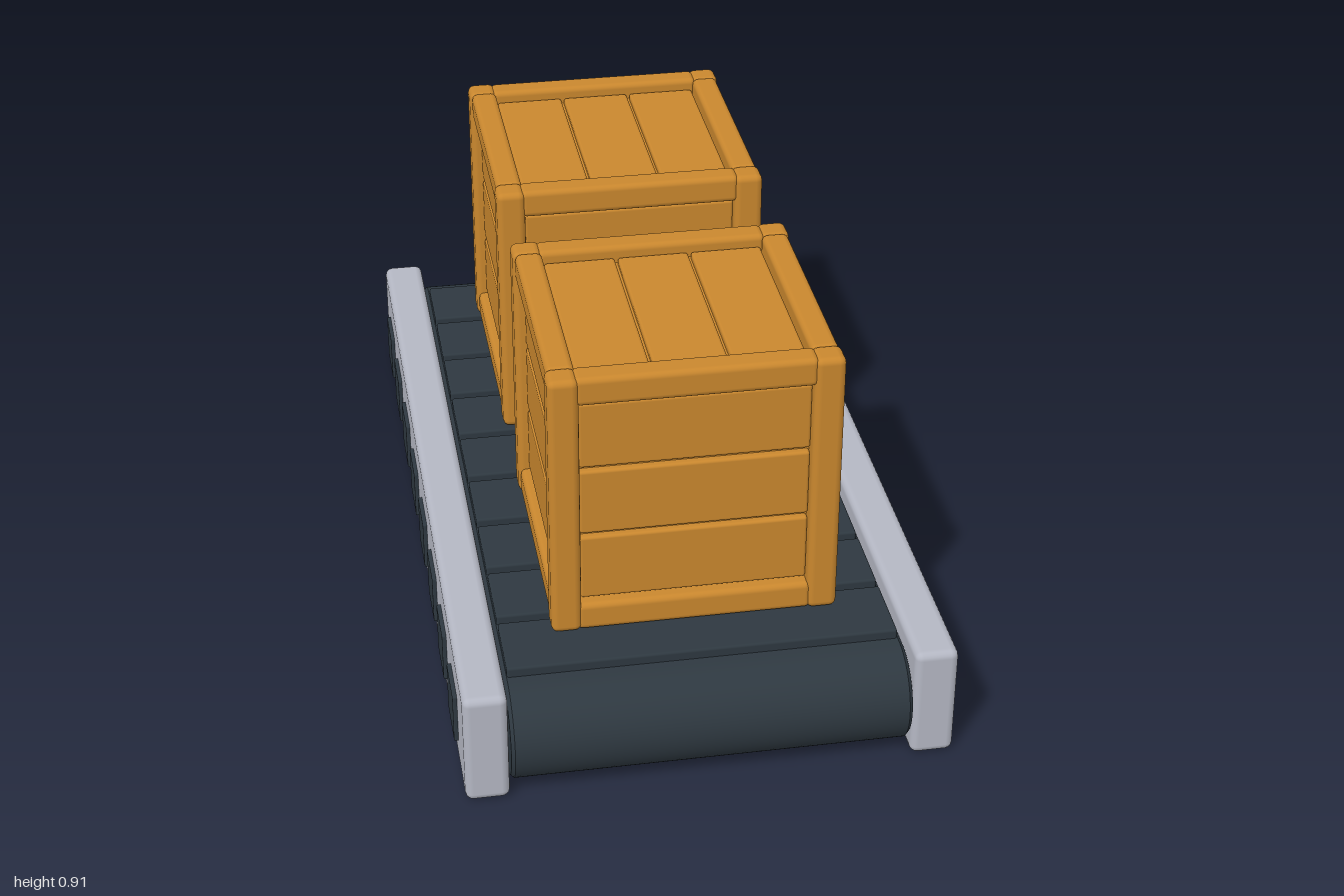
import * as THREE from 'three';
import { toCreasedNormals } from 'three/addons/utils/BufferGeometryUtils.js';
import { RoundedBoxGeometry } from 'three/addons/geometries/RoundedBoxGeometry.js';

function material(name, color) {
  const m = new THREE.MeshStandardMaterial({ color });
  m.name = name;
  return m;
}

// Softly rounded box given its size and centre
function block(parent, name, mat, [w, h, d], [x, y, z], radius = 0.012) {
  const mesh = new THREE.Mesh(new RoundedBoxGeometry(w, h, d, 2, radius), mat);
  mesh.name = name;
  mesh.position.set(x, y, z);
  parent.add(mesh);
  return mesh;
}

// Belt loop: flat run with a half-round at each end, extruded across the width
function beltLoop(mat) {
  const bevel = 0.008, r = 0.115 - bevel, c = 0.885, halfWidth = 0.445;
  const shape = new THREE.Shape();
  shape.moveTo(-c, -r);
  shape.lineTo(c, -r);
  shape.absarc(c, 0, r, -Math.PI / 2, Math.PI / 2, false);
  shape.lineTo(-c, r);
  shape.absarc(-c, 0, r, Math.PI / 2, Math.PI * 1.5, false);
  const depth = 2 * (halfWidth - bevel);
  const geo = new THREE.ExtrudeGeometry(shape, {
    depth, curveSegments: 12, bevelEnabled: true,
    bevelSize: bevel, bevelThickness: bevel, bevelSegments: 1,
  });
  geo.translate(0, 0, -depth / 2);
  geo.rotateY(Math.PI / 2);
  const mesh = new THREE.Mesh(toCreasedNormals(geo, 0.6), mat);
  mesh.name = 'beltLoop';
  mesh.position.y = 0.125;
  return mesh;
}

// Wooden crate centred on x and z, standing on y = 0
function crate(wood) {
  const g = new THREE.Group();
  g.name = 'crate';
  const half = 0.322, height = 0.646, beam = 0.068;
  const edge = half - beam / 2, inner = 2 * (half - beam);

  // Core behind the plank gaps
  block(g, 'crateCore', wood, [0.56, 0.585, 0.56], [0, height / 2 - 0.01, 0], 0.005);

  // Corner posts
  for (const sx of [-1, 1]) for (const sz of [-1, 1]) {
    block(g, 'cornerPost', wood, [beam, height, beam], [sx * edge, height / 2, sz * edge], 0.016);
  }

  // Each side: top and bottom beams with three planks between
  for (let i = 0; i < 4; i++) {
    const side = new THREE.Group();
    side.name = 'crateSide';
    side.rotation.y = i * Math.PI / 2;
    for (const y of [beam / 2, height - beam / 2]) {
      block(side, 'edgeBeam', wood, [inner + 0.02, beam, beam - 0.006], [0, y, edge - 0.002], 0.014);
    }
    for (let k = 0; k < 3; k++) {
      block(side, 'sidePlank', wood, [inner, 0.16, 0.04], [0, height / 2 + (k - 1) * 0.17, 0.277], 0.007);
    }
    g.add(side);
  }

  // Lid and base planks running front to back
  for (const y of [0.03, height - 0.046]) {
    for (let k = -1; k <= 1; k++) {
      block(g, 'lidPlank', wood, [0.163, 0.04, inner], [k * 0.17, y, 0], 0.007);
    }
  }
  return g;
}

export function createModel() {
  const model = new THREE.Group();
  model.name = 'conveyorWithCrates';
  const wood = material('wood', 0xc9872e);
  const rubber = material('darkRubber', 0x2e3840);
  const metal = material('lightMetal', 0xb4b7c3);

  // Belt and its raised slats
  model.add(beltLoop(rubber));
  for (let i = -4; i <= 4; i++) {
    block(model, 'beltSlat', rubber, [0.872, 0.04, 0.172], [0, 0.243, i * 0.195], 0.006);
  }

  // Side rails with square inset plates
  for (const s of [-1, 1]) {
    block(model, 'sideRail', metal, [0.098, 0.273, 1.97], [s * 0.497, 0.1395, 0], 0.018);
    for (let i = 0; i < 8; i++) {
      block(model, 'railPlate', rubber, [0.03, 0.122, 0.126], [s * 0.541, 0.13, (i - 3.5) * 0.2257], 0.004);
    }
  }

  // Two crates riding on the belt
  for (const z of [-0.438, 0.438]) {
    const c = crate(wood);
    c.position.set(0, 0.264, z);
    model.add(c);
  }
  return model;
}
